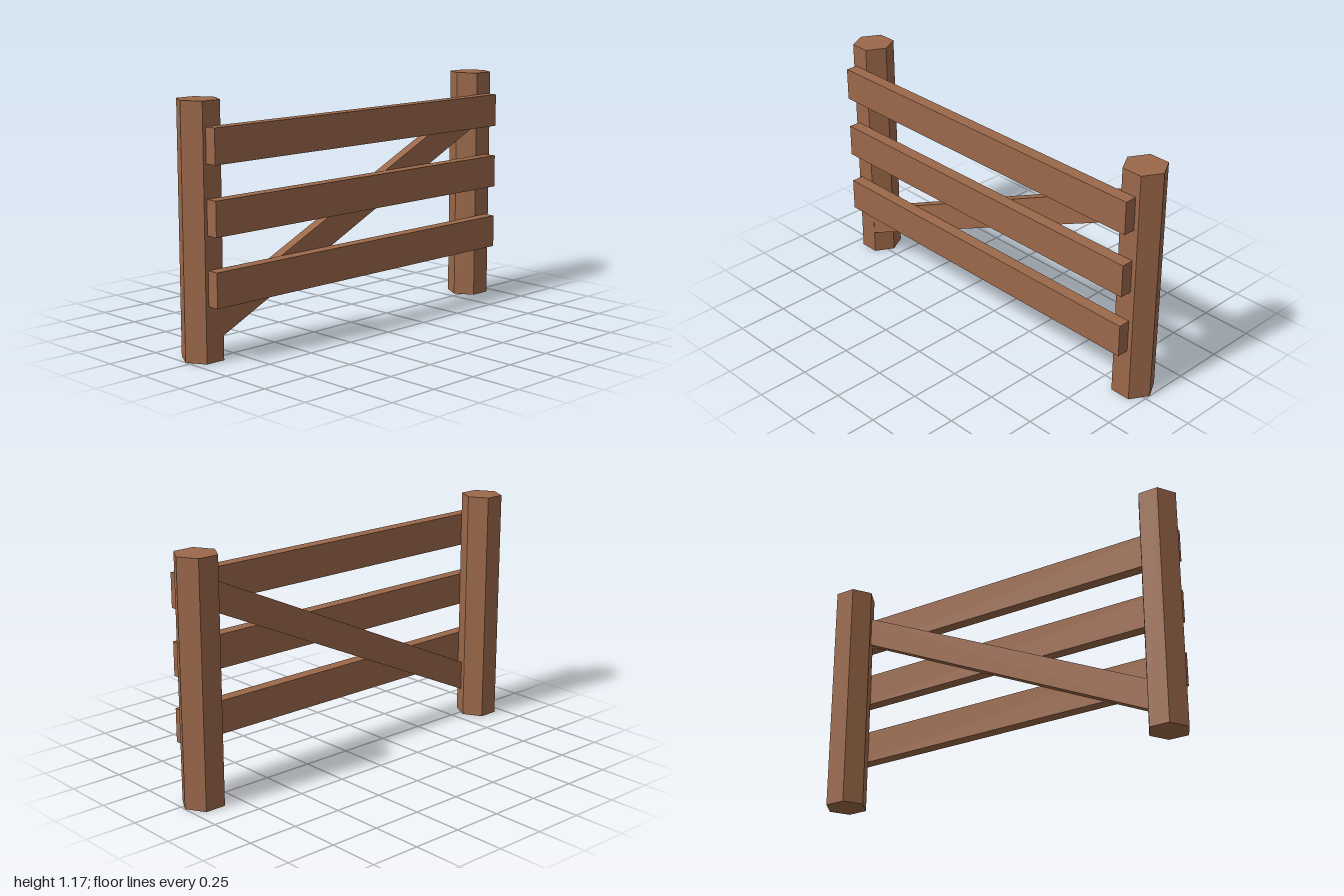
import * as THREE from 'three';

export function createModel() {
  const group = new THREE.Group();
  group.name = 'fence';
  const wood = new THREE.MeshStandardMaterial({ color: 0x9b6849, flatShading: true });
  wood.name = 'brown wood';

  const add = (name, geometry, x, y, z) => {
    const mesh = new THREE.Mesh(geometry, wood);
    mesh.name = name;
    mesh.position.set(x, y, z);
    group.add(mesh);
  };

  // Hexagonal posts with corners pointing along x
  const post = (name, x, halfWidth) => {
    const height = 1.167;
    const geometry = new THREE.CylinderGeometry(1, 1, height, 6);
    geometry.rotateY(Math.PI / 2);
    geometry.scale(halfWidth, 1, 0.09 / Math.cos(Math.PI / 6));
    add(name, geometry, x, height / 2, -0.03);
  };
  post('rightPost', -0.902, 0.098);
  post('leftPost', 0.896, 0.104);

  // Three horizontal rails across the front
  ['lowerRail', 'middleRail', 'upperRail'].forEach((name, i) => {
    add(name, new THREE.BoxGeometry(1.86, 0.162, 0.06), -0.005, 0.341 + i * 0.317, 0.09);
  });

  // Diagonal brace behind the rails, ends sunk into the posts
  const bottomAt = (x) => 0.112 + (x + 0.855) * 0.465;
  const x0 = -0.87, x1 = 0.83, thick = 0.148;
  const outline = new THREE.Shape([
    new THREE.Vector2(x0, bottomAt(x0)),
    new THREE.Vector2(x1, bottomAt(x1)),
    new THREE.Vector2(x1, bottomAt(x1) + thick),
    new THREE.Vector2(x0, bottomAt(x0) + thick),
  ]);
  add('diagonalBrace', new THREE.ExtrudeGeometry(outline, { depth: 0.05, bevelEnabled: false }), 0, 0, 0.009);

  return group;
}
